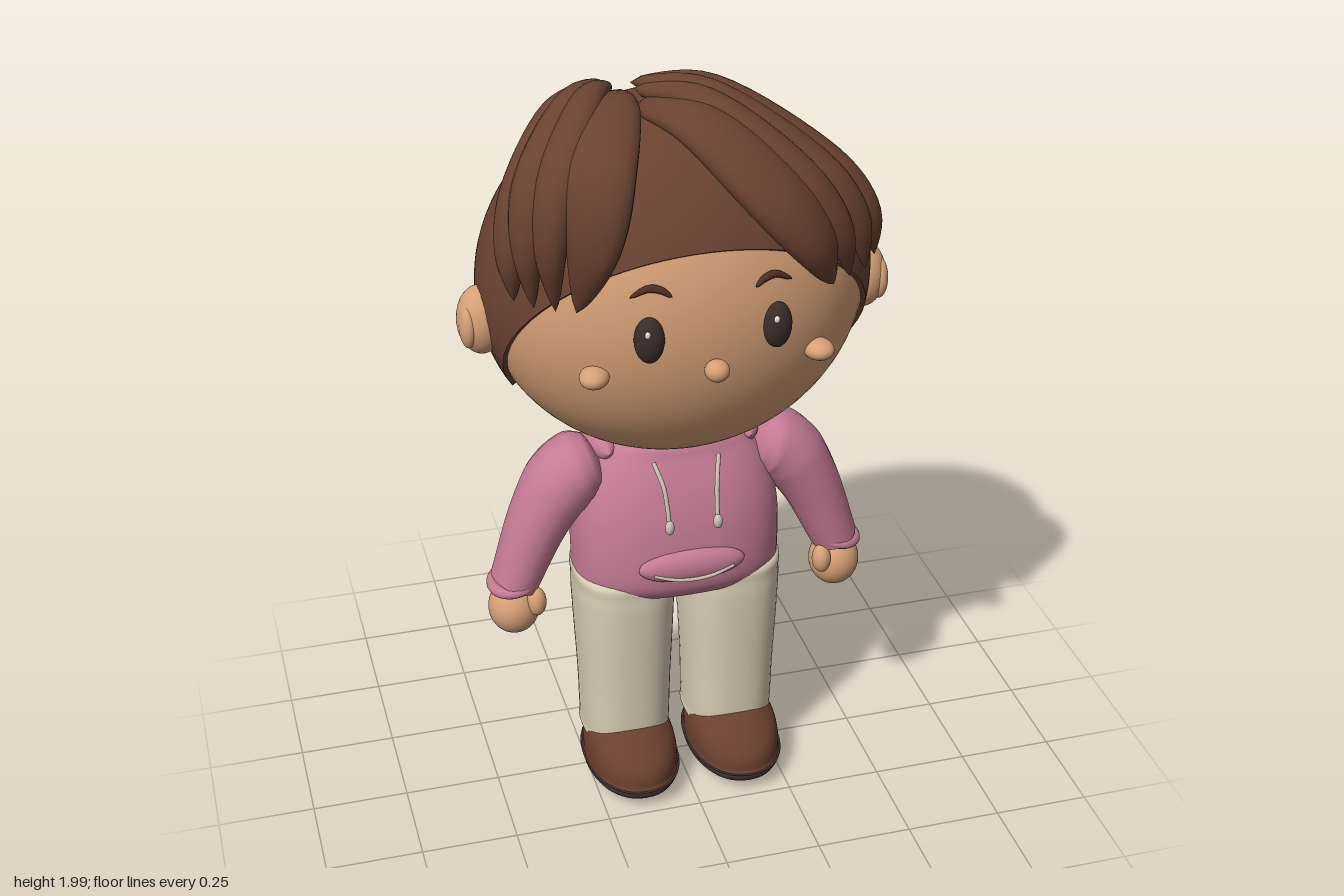
import * as THREE from 'three';

const mat = (name, color) => Object.assign(new THREE.MeshStandardMaterial({ color }), { name });

// Closed-around grid surface: fn(v, angle) -> Vector3, rows run along v
function grid(rows, cols, fn) {
  const pos = [], idx = [];
  for (let i = 0; i <= rows; i++)
    for (let j = 0; j < cols; j++) pos.push(...fn(i / rows, (j / cols) * Math.PI * 2).toArray());
  for (let i = 0; i < rows; i++)
    for (let j = 0; j < cols; j++) {
      const a = i * cols + j, b = i * cols + ((j + 1) % cols);
      idx.push(a, a + cols, b, b, a + cols, b + cols);
    }
  const g = new THREE.BufferGeometry();
  g.setAttribute('position', new THREE.Float32BufferAttribute(pos, 3));
  g.setIndex(idx);
  g.computeVertexNormals();
  return g;
}

const spline = (pts) => new THREE.CatmullRomCurve3(pts.map((p) => new THREE.Vector3(...p)), false, 'catmullrom');

// Vertical loft through rounded sections [y, halfX, halfZ, centreZ]
function loft(rings, power = 2.5) {
  const first = rings[0], last = rings[rings.length - 1];
  const all = [[first[0], 0.001, 0.001, first[3]], ...rings, [last[0], 0.001, 0.001, last[3]]];
  const size = spline(all.map((r) => [r[1], r[0], r[2]])), mid = spline(all.map((r) => [0, 0, r[3]]));
  const sup = (c) => Math.sign(c) * Math.abs(c) ** (2 / power);
  return grid(rings.length * 6, 48, (v, a) => {
    const s = size.getPoint(v);
    return new THREE.Vector3(Math.max(s.x, 0.001) * sup(Math.cos(a)), s.y,
      mid.getPoint(v).z + Math.max(s.z, 0.001) * sup(Math.sin(a)));
  });
}

// Swept limb or lock; size(t) -> [halfWidth, halfThickness], out(p) -> facing direction
function sweep(points, size, out, rows = 28) {
  const curve = spline(points);
  return grid(rows, 20, (v, a) => {
    const p = curve.getPoint(v), t = curve.getTangent(v);
    const s = t.clone().cross(out(p)).normalize(), n = s.clone().cross(t);
    const [w, d] = size(v);
    return p.addScaledVector(s, w * Math.cos(a)).addScaledVector(n, d * Math.sin(a));
  });
}

export function createModel() {
  const model = new THREE.Group();
  model.name = 'boyInHoodie';
  const skin = mat('skin', 0xd6a077), hair = mat('hair', 0x6a4232), pink = mat('hoodiePink', 0xc47a94),
    cloth = mat('trouserCream', 0xd8ccb5), leather = mat('shoeBrown', 0x6b4030), sole = mat('soleDark', 0x40332f),
    dark = mat('eyeDark', 0x3a2e2a), brow = mat('browBrown', 0x4f2d22), cord = mat('cordBeige', 0xcabfb2),
    white = mat('eyeGlint', 0xf4f0ea);

  const add = (name, geo, material, parent = model) => {
    const m = new THREE.Mesh(geo, material);
    m.name = name;
    parent.add(m);
    return m;
  };
  const ball = (name, material, p, r, parent = model) => {
    const m = add(name, new THREE.SphereGeometry(1, 32, 24), material, parent);
    m.position.set(...p);
    m.scale.set(...r);
    return m;
  };

  // Head
  const C = new THREE.Vector3(0, 1.455, -0.015), R = [0.48, 0.455, 0.365];
  const faceZ = (x, y) => C.z + R[2] * Math.sqrt(1 - (x / R[0]) ** 2 - ((y - C.y) / R[1]) ** 2);
  add('head', new THREE.SphereGeometry(1, 64, 48), skin).position.copy(C);
  model.children[0].scale.set(...R);
  ball('nose', skin, [0, 1.375, 0.365], [0.03, 0.027, 0.03]);

  // Hair cap, cut level at the back and sloping up to the forehead
  const capPoint = (theta, a, k = 1) => new THREE.Vector3(
    C.x + 0.492 * k * Math.sin(theta) * Math.cos(a),
    C.y + 0.468 * k * Math.cos(theta),
    C.z + 0.376 * k * Math.sin(theta) * Math.sin(a));
  const capEdge = (a) => {
    let lo = 0, hi = Math.PI;
    for (let i = 0; i < 30; i++) {
      const m = (lo + hi) / 2, p = capPoint(m, a);
      if (p.y > 1.2 + Math.max(0, 1.42 * p.z)) lo = m; else hi = m;
    }
    return lo;
  };
  add('hairCap', grid(32, 96, (v, a) => capPoint(capEdge(a) * (1 - v), a)), hair);
  add('hairCapEdge', grid(1, 96, (v, a) => capPoint(capEdge(a), a, 0.965 + 0.035 * v)), hair);

  // Swept fringe locks, each a fan of four strands
  const fringe = {
    rightFringe: [
      [[-0.15, 1.93, 0], [-0.19, 1.945, 0.15], [-0.255, 1.87, 0.3], [-0.285, 1.71, 0.335], [-0.31, 1.52, 0.27]],
      [[-0.16, 1.95, -0.02], [-0.24, 1.965, 0.11], [-0.335, 1.86, 0.25], [-0.37, 1.7, 0.285], [-0.355, 1.52, 0.25]],
      [[-0.17, 1.95, -0.04], [-0.27, 1.955, 0.08], [-0.38, 1.84, 0.2], [-0.415, 1.69, 0.24], [-0.4, 1.52, 0.22]],
      [[-0.18, 1.94, -0.05], [-0.3, 1.93, 0.06], [-0.405, 1.8, 0.16], [-0.445, 1.66, 0.2], [-0.44, 1.53, 0.19]]],
    leftFringe: [
      [[-0.1, 1.92, 0.03], [0, 1.92, 0.2], [0.13, 1.8, 0.31], [0.24, 1.66, 0.335], [0.31, 1.52, 0.28]],
      [[-0.1, 1.945, 0], [0.03, 1.95, 0.14], [0.2, 1.82, 0.26], [0.31, 1.67, 0.29], [0.36, 1.52, 0.25]],
      [[-0.1, 1.955, -0.02], [0.05, 1.955, 0.1], [0.26, 1.81, 0.21], [0.37, 1.67, 0.24], [0.41, 1.52, 0.22]],
      [[-0.1, 1.945, -0.04], [0.07, 1.95, 0.06], [0.3, 1.8, 0.16], [0.41, 1.67, 0.2], [0.45, 1.53, 0.17]]],
  };
  for (const [name, strands] of Object.entries(fringe)) {
    const lock = new THREE.Group();
    lock.name = name;
    model.add(lock);
    strands.forEach((pts, i) => {
      const w = i === 0 ? 0.085 : 0.052, d = i === 0 ? 0.05 : 0.042;
      add('strand', sweep(pts, (t) => {
        const k = t < 0.55 ? 0.35 + 0.65 * Math.sin((t / 0.55) * Math.PI / 2) : Math.cos(((t - 0.55) / 0.45) * Math.PI / 2) ** 0.75;
        const e = Math.min(1, t * 25 + 0.01) * Math.max(k, 0.01);
        return [w * e, d * e];
      }, (p) => p.clone().sub(C)), hair, lock);
    });
  }

  // Hoodie body, hood roll and pocket
  add('hoodieBody', loft([[0.592, 0.18, 0.13, -0.02], [0.62, 0.262, 0.17, -0.02], [0.68, 0.272, 0.183, -0.018],
    [0.8, 0.27, 0.175, -0.02], [0.9, 0.25, 0.155, -0.025], [0.98, 0.21, 0.125, -0.03], [1.02, 0.15, 0.1, -0.03]]), pink);
  add('hood', sweep([[-0.185, 1.0, 0.05], [-0.185, 0.99, -0.07], [-0.11, 0.985, -0.155], [0, 0.98, -0.178],
    [0.11, 0.985, -0.155], [0.185, 0.99, -0.07], [0.185, 1.0, 0.05]], (t) => {
    const r = 0.001 + 0.066 * Math.sin(Math.PI * t) ** 0.5;
    return [r, r * 1.05];
  }, () => new THREE.Vector3(0, 1, 0), 40), pink);
  ball('pocket', pink, [0, 0.71, 0.158], [0.14, 0.046, 0.032]);
  add('pocketSeam', new THREE.TubeGeometry(spline([[-0.105, 0.702, 0.178], [-0.05, 0.687, 0.186], [0, 0.683, 0.188],
    [0.05, 0.687, 0.186], [0.105, 0.702, 0.178]]), 24, 0.005, 8), cord);

  // Paired parts, mirrored by coordinates
  for (const s of [1, -1]) {
    const side = new THREE.Group();
    side.name = s > 0 ? 'leftSide' : 'rightSide';
    model.add(side);

    // Face
    ball('ear', skin, [s * 0.485, 1.395, -0.005], [0.06, 0.088, 0.066], side);
    ball('innerEar', skin, [s * 0.522, 1.39, 0.02], [0.022, 0.055, 0.035], side);
    const eye = ball('eye', dark, [s * 0.155, 1.46, faceZ(0.155, 1.46) + 0.005], [0.036, 0.058, 0.028], side);
    eye.rotation.y = s * 0.25;
    ball('glint', white, [s * 0.155 - 0.01, 1.486, faceZ(0.155, 1.46) + 0.03], [0.007, 0.009, 0.005], side);
    add('eyebrow', sweep([[0.1, 1.563], [0.125, 1.58], [0.155, 1.583], [0.195, 1.562]]
      .map(([x, y]) => [s * x, y, faceZ(x, y) + 0.004]), (t) => {
      const k = 0.05 + Math.sin(Math.PI * t) ** 0.5;
      return [0.009 * k, 0.009 * k];
    }, () => new THREE.Vector3(0, 0, 1), 16), brow, side);
    const cheek = ball('cheek', skin, [s * 0.275, 1.355, 0.285], [0.036, 0.026, 0.042], side);
    cheek.rotation.y = s * 0.4;

    // Arm, cuff and hand
    const taper = [[0, 0.02, 0.02], [0.06, 0.07, 0.075], [0.2, 0.092, 0.1], [0.45, 0.092, 0.102], [0.8, 0.073, 0.086], [1, 0.062, 0.078]];
    const armSize = (t) => {
      const i = Math.max(1, taper.findIndex((r) => r[0] >= t)), a = taper[i - 1], b = taper[i];
      const k = (t - a[0]) / (b[0] - a[0]);
      return [a[1] + (b[1] - a[1]) * k, a[2] + (b[2] - a[2]) * k];
    };
    add('sleeve', sweep([[s * 0.2, 0.965, -0.01], [s * 0.285, 0.93, -0.008], [s * 0.36, 0.82, 0], [s * 0.434, 0.64, 0.005]],
      armSize, () => new THREE.Vector3(0, 0, 1)), pink, side);
    const cuff = add('cuff', new THREE.TorusGeometry(0.055, 0.015, 12, 40), pink, side);
    cuff.position.set(s * 0.436, 0.645, 0.005);
    cuff.rotation.set(Math.PI / 2, s * -0.2, 0);
    cuff.scale.set(1, 1.18, 1);
    ball('hand', skin, [s * 0.437, 0.565, 0.008], [0.067, 0.074, 0.068], side);
    ball('thumb', skin, [s * 0.386, 0.598, 0.055], [0.025, 0.04, 0.028], side);

    // Drawstring with a bead
    add('drawstring', new THREE.TubeGeometry(spline([[s * 0.085, 0.99, 0.1], [s * 0.07, 0.94, 0.14],
      [s * 0.065, 0.89, 0.158], [s * 0.063, 0.845, 0.172]]), 20, 0.006, 8), cord, side);
    ball('drawstringBead', cord, [s * 0.063, 0.838, 0.174], [0.012, 0.02, 0.012], side);

    // Trouser leg and shoe
    const leg = new THREE.Group();
    leg.name = 'leg';
    leg.position.x = s * 0.143;
    side.add(leg);
    add('trouserLeg', loft([[0.13, 0.108, 0.12, -0.012], [0.16, 0.116, 0.135, -0.012], [0.3, 0.12, 0.138, -0.01],
      [0.5, 0.129, 0.148, -0.012], [0.6, 0.131, 0.15, -0.014], [0.65, 0.12, 0.135, -0.015]]), cloth, leg);
    add('shoeUpper', loft([[0.058, 0.112, 0.178, 0.047], [0.075, 0.12, 0.187, 0.047], [0.115, 0.119, 0.18, 0.046],
      [0.155, 0.106, 0.15, 0.04], [0.187, 0.06, 0.09, 0.045]], 2.2), leather, leg);
    add('soleRim', loft([[0.038, 0.1, 0.165, 0.047], [0.047, 0.121, 0.188, 0.047], [0.06, 0.123, 0.19, 0.047],
      [0.068, 0.116, 0.182, 0.047]], 2.2), sole, leg);
    ball('soleBottom', leather, [0, 0.042, 0.047], [0.093, 0.036, 0.152], leg);
  }
  return model;
}
